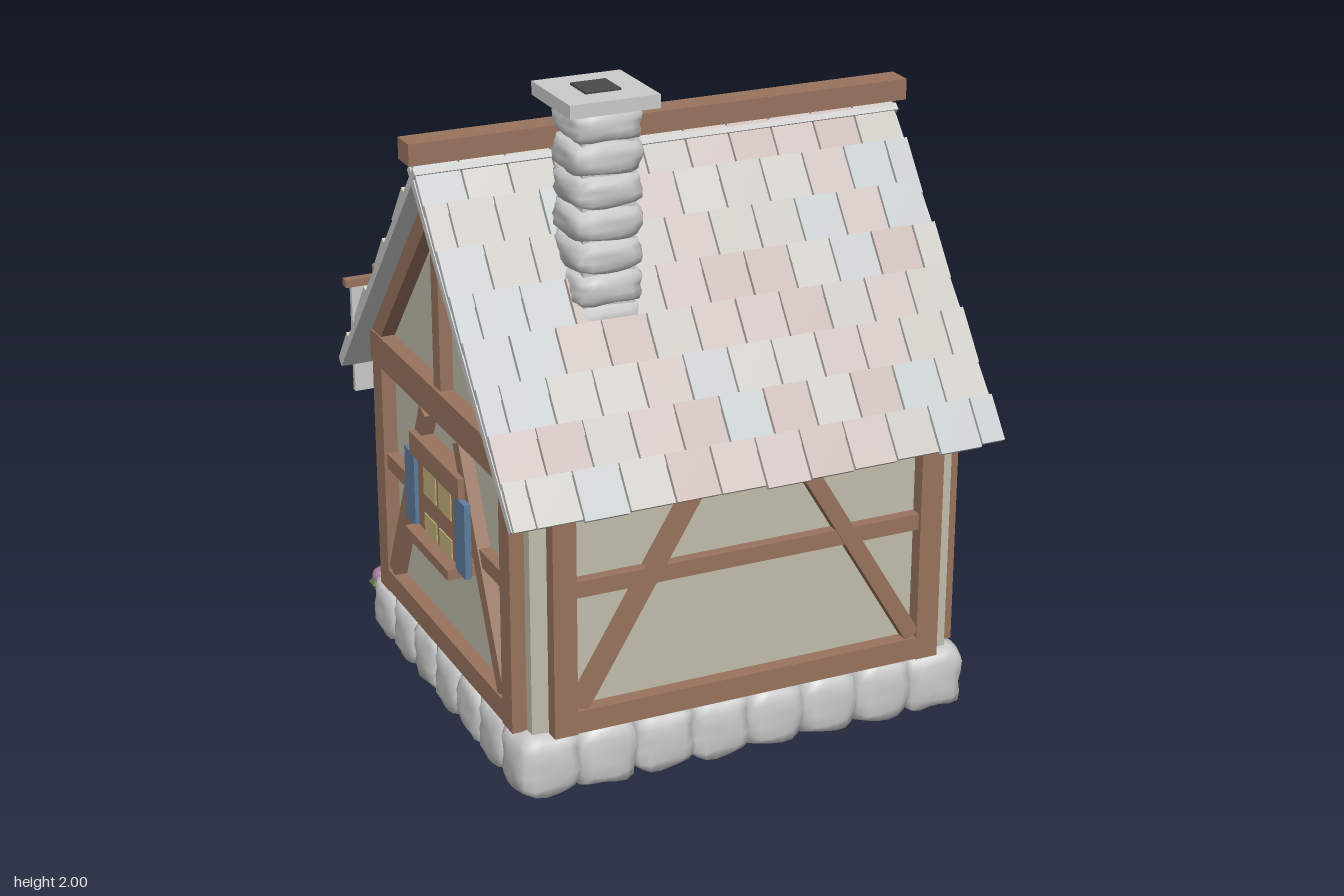
import * as THREE from 'three';
import { mergeVertices } from 'three/addons/utils/BufferGeometryUtils.js';

const paint = (color, extra = {}) => new THREE.MeshStandardMaterial({ color, ...extra });
const GREY = paint(0xcccccc), WOOD = paint(0x99745e), DOOR = paint(0x7d5a45), PLASTER = paint(0xc2bdad);
const BLUE = paint(0x5f7d9e), PANE = paint(0xc4b47c), DARK = paint(0x4a4a4a), LEAF = paint(0x6b7a45, { flatShading: true });
const TILES = [0xcccac4, 0xc9c6c0, 0xccc0bc, 0xc8b8b3, 0xc4c9cb].map(c => paint(c));
const BLOOMS = [0xa67aa0, 0xb8ac5c, 0xd8d8d0, 0xc0665c, 0x6c7fb4].map(c => paint(c));
const MID = 0.075; // z of the ridge

let seed = 7;
const rand = () => (seed = (seed * 16807) % 2147483647) / 2147483647;

function add(parent, name, geo, mat, x = 0, y = 0, z = 0) {
  const m = new THREE.Mesh(geo, mat);
  m.name = name;
  m.position.set(x, y, z);
  parent.add(m);
  return m;
}
const box = (parent, name, mat, w, h, d, x, y, z) => add(parent, name, new THREE.BoxGeometry(w, h, d), mat, x, y, z);

// Rounded, slightly uneven boulder
function stone(parent, name, w, h, d, x, y, z) {
  let g = new THREE.BoxGeometry(2, 2, 2, 5, 5, 5);
  g.deleteAttribute('normal');
  g.deleteAttribute('uv');
  g = mergeVertices(g);
  const p = g.attributes.position, v = new THREE.Vector3(), s = rand() * 50;
  for (let i = 0; i < p.count; i++) {
    v.fromBufferAttribute(p, i);
    const n = 5, r = (Math.abs(v.x) ** n + Math.abs(v.y) ** n + Math.abs(v.z) ** n) ** (1 / n);
    v.multiplyScalar((1 / r) * (1 + 0.045 * Math.sin(v.x * 3.1 + v.y * 4.3 + v.z * 2.7 + s)));
    p.setXYZ(i, v.x * w / 2, v.y * h / 2, v.z * d / 2);
  }
  g.computeVertexNormals();
  return add(parent, name, g, GREY, x, y, z);
}

// A wall face: local x runs along the wall, local z points outwards
function face(parent, name, x, z, turn) {
  const g = new THREE.Group();
  g.name = name;
  g.position.set(x, 0, z);
  g.rotation.y = turn;
  parent.add(g);
  return g;
}

// Timber between two points on a wall face
function beam(g, name, x1, y1, x2, y2, width, depth = 0.045) {
  const len = Math.hypot(x2 - x1, y2 - y1);
  const m = box(g, name, WOOD, len, width, depth, (x1 + x2) / 2, (y1 + y2) / 2, depth / 2);
  m.rotation.z = Math.atan2(y2 - y1, x2 - x1);
}

function windowUnit(g, u) {
  const w = new THREE.Group();
  w.name = 'window';
  w.position.x = u;
  g.add(w);
  box(w, 'windowFrame', WOOD, 0.33, 0.24, 0.045, 0, 0.68, 0.025);
  box(w, 'lintel', WOOD, 0.4, 0.07, 0.06, 0, 0.83, 0.03);
  box(w, 'sill', WOOD, 0.35, 0.032, 0.09, 0, 0.555, 0.045);
  for (const s of [-1, 1]) {
    box(w, 'upperPane', PANE, 0.1, 0.095, 0.01, s * 0.061, 0.742, 0.046);
    box(w, 'lowerPane', PANE, 0.1, 0.06, 0.01, s * 0.061, 0.602, 0.046);
    box(w, 'shutter', BLUE, 0.08, 0.235, 0.02, s * 0.205, 0.683, 0.05);
  }
}

// Bloom on a tuft of leaves
function flower(g, i, x, y, z, r, leafy) {
  if (leafy) add(g, 'leaves', new THREE.IcosahedronGeometry(r, 0), LEAF, x, y, z).scale.y = 0.7;
  add(g, 'bloom', new THREE.SphereGeometry(r * 0.75, 10, 8), BLOOMS[i % 5], x, y + r * 0.45, z);
}

function roof(house) {
  const run = 0.725, rise = 0.84, len = Math.hypot(run, rise), tilt = Math.atan2(rise, run);
  const rows = 8, pitch = len / rows, tileW = 0.14, half = 0.775;
  for (const s of [1, -1]) {
    // Local z runs down the slope from the ridge, local y is the slope normal
    const side = new THREE.Group();
    side.name = s > 0 ? 'frontRoof' : 'backRoof';
    side.position.set(0, 1.77, MID);
    side.rotation.set(tilt, s > 0 ? 0 : Math.PI, 0, 'YXZ');
    house.add(side);
    box(side, 'roofBoard', GREY, half * 2, 0.025, len - 0.01, 0, -0.034, len / 2);
    for (let r = 0; r < rows; r++) {
      for (let x = -half - (r % 2) * tileW / 2; x < half - 0.01; x += tileW) {
        const a = Math.max(x, -half) + 0.003, b = Math.min(x + tileW, half) - 0.003;
        if (b - a < 0.01) continue;
        const extra = r < rows - 1 ? rand() * 0.045 : rand() * 0.012;
        const l = pitch + extra;
        const t = box(side, 'rooftile', TILES[Math.floor(rand() * 5)], b - a, 0.016, l, (a + b) / 2, -0.013, r * pitch + l / 2);
        t.rotation.x = 0.07;
      }
    }
  }
  box(house, 'ridgeBeam', WOOD, 1.59, 0.065, 0.085, 0, 1.798, 0.072);
}

export function createModel() {
  const house = new THREE.Group();
  house.name = 'cottage';

  // Foundation
  box(house, 'foundation', DARK, 1.3, 0.17, 1.14, 0, 0.115, MID);
  for (const s of [-1, 1]) {
    for (let i = 0; i < 8; i++)
      stone(house, 'foundationStone', 0.192, 0.185 + rand() * 0.015, 0.19, -0.63 + i * 0.18, 0.115, MID + s * 0.54);
    for (let i = 0; i < 5; i++)
      stone(house, 'foundationStone', 0.19, 0.185 + rand() * 0.015, 0.19, s * 0.63, 0.115, MID - 0.36 + i * 0.18);
  }

  // Plaster body with gables
  const outline = new THREE.Shape([[-0.585, 0.2], [0.585, 0.2], [0.585, 1.01], [0, 1.68], [-0.585, 1.01]]
    .map(p => new THREE.Vector2(...p)));
  const body = new THREE.ExtrudeGeometry(outline, { depth: 1.35, bevelEnabled: false }).translate(0, 0, -0.675);
  add(house, 'walls', body, PLASTER, 0, 0, MID).rotation.y = Math.PI / 2;

  // Front timbers
  const front = face(house, 'frontTimbers', 0, 0.66, 0);
  beam(front, 'bottomBeam', -0.62, 0.248, 0.62, 0.248, 0.07);
  beam(front, 'topBeam', -0.62, 0.94, 0.62, 0.94, 0.05);
  beam(front, 'middleBeam', -0.55, 0.66, 0.55, 0.66, 0.05, 0.035);
  for (const s of [-1, 1]) {
    beam(front, 'post', s * 0.587, 0.21, s * 0.587, 0.96, 0.072);
    beam(front, 'brace', s * 0.54, 0.29, s * 0.15, 0.94, 0.05, 0.04);
  }

  // Gable timbers and windows
  for (const s of [-1, 1]) {
    const g = face(house, 'gableTimbers', s * 0.675, MID, s * Math.PI / 2);
    beam(g, 'bottomBeam', -0.545, 0.25, 0.545, 0.25, 0.07);
    beam(g, 'middleBeam', -0.48, 0.655, 0.48, 0.655, 0.05, 0.035);
    beam(g, 'tieBeam', -0.55, 1.02, 0.55, 1.02, 0.1, 0.05);
    beam(g, 'kingPost', 0, 1.07, 0, 1.64, 0.055, 0.04);
    for (const t of [-1, 1]) {
      beam(g, 'post', t * 0.51, 0.21, t * 0.51, 1.06, 0.075);
      beam(g, 'rafter', t * 0.545, 1.03, t * 0.015, 1.64, 0.07);
      beam(g, 'brace', t * 0.45, 0.29, t * 0.135, 0.95, 0.05, 0.04);
    }
    windowUnit(g, 0);
  }

  // Back timbers, door and windows
  const back = face(house, 'backTimbers', 0, -0.51, Math.PI);
  beam(back, 'bottomBeam', -0.62, 0.248, 0.62, 0.248, 0.07);
  beam(back, 'topBeam', -0.62, 0.94, 0.62, 0.94, 0.05);
  for (const s of [-1, 1]) {
    beam(back, 'post', s * 0.587, 0.21, s * 0.587, 0.96, 0.072);
    beam(back, 'doorPost', s * 0.165, 0.21, s * 0.165, 0.92, 0.05);
    beam(back, 'rail', s * 0.18, 0.5, s * 0.56, 0.5, 0.06, 0.04);
    beam(back, 'stud', s * 0.38, 0.28, s * 0.38, 0.48, 0.06, 0.04);
    windowUnit(back, s * 0.4);
  }
  beam(back, 'doorLintel', -0.2, 0.865, 0.2, 0.865, 0.06, 0.06);
  for (let i = 0; i < 4; i++) box(back, 'doorPlank', DOOR, 0.067, 0.62, 0.03 + (i % 2) * 0.006, -0.105 + i * 0.07, 0.525, 0.025);
  for (const y of [0.36, 0.73]) box(back, 'doorStrap', BLUE, 0.26, 0.04, 0.012, 0, y, 0.05);
  add(back, 'doorKnob', new THREE.SphereGeometry(0.013, 10, 8), DARK, 0.1, 0.53, 0.055);

  // Flower box under one back window
  box(house, 'flowerBox', WOOD, 0.34, 0.07, 0.085, 0.4, 0.517, -0.605);
  for (let i = 0; i < 5; i++) flower(house, i, 0.27 + i * 0.065, 0.565, -0.612, 0.038, false);

  roof(house);

  // Chimney
  for (let i = 0; i < 8; i++)
    stone(house, 'chimneyStone', 0.21 + rand() * 0.012, 0.1, 0.205 + rand() * 0.012, -0.315, 1.24 + i * 0.0955, 0.33);
  box(house, 'chimneyCore', GREY, 0.16, 0.72, 0.16, -0.315, 1.6, 0.33);
  box(house, 'chimneyCap', GREY, 0.272, 0.04, 0.272, -0.317, 1.974, 0.327);
  box(house, 'flue', DARK, 0.108, 0.02, 0.108, -0.317, 1.99, 0.327);

  // Doorstep
  const step = stone(house, 'doorstep', 0.49, 0.085, 0.26, 0, 0.05, -0.63);
  const sp = step.geometry.attributes.position;
  for (let i = 0; i < sp.count; i++) if (sp.getY(i) > 0) sp.setX(i, sp.getX(i) * 0.9);
  step.geometry.computeVertexNormals();

  // Bench
  box(house, 'benchSeat', WOOD, 0.46, 0.026, 0.125, 0.48, 0.207, -0.617);
  for (const x of [0.32, 0.64]) box(house, 'benchLeg', WOOD, 0.05, 0.155, 0.1, x, 0.117, -0.615);

  // Banner poles
  for (const x of [-0.6, 0.6]) {
    add(house, 'bannerPole', new THREE.CylinderGeometry(0.021, 0.023, 1.175, 10), WOOD, x, 0.5875, -0.732);
    box(house, 'bannerBar', WOOD, 0.23, 0.025, 0.03, x, 1.13, -0.732);
    box(house, 'banner', GREY, 0.19, 0.36, 0.018, x, 0.945, -0.732);
  }

  // Flowers at the foot of one pole
  [[-0.615, -0.765], [-0.49, -0.75], [-0.62, -0.68], [-0.54, -0.66], [-0.455, -0.655]]
    .forEach(([x, z], i) => flower(house, i, x, 0.06, z, 0.045, true));

  return house;
}
